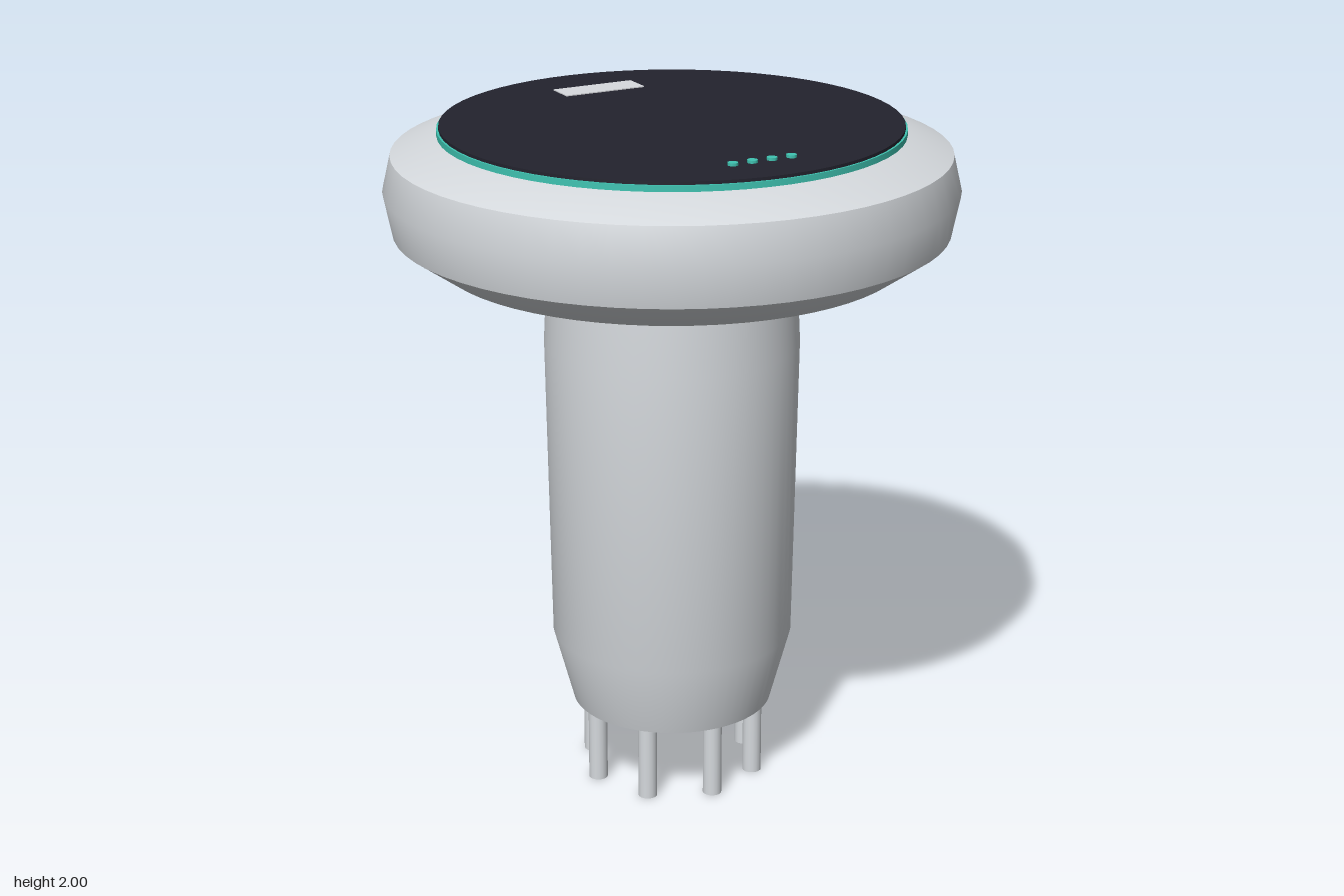
import * as THREE from 'three';
import { toCreasedNormals } from 'three/addons/utils/BufferGeometryUtils.js';

const material = (name, color) => {
  const m = new THREE.MeshStandardMaterial({ color });
  m.name = name;
  return m;
};

export function createModel() {
  const shell = material('paleGrey', 0xd5d9dd);
  const glass = material('nearBlack', 0x23232e);
  const teal = material('teal', 0x3fc4b2);
  const label = material('labelWhite', 0xd8dade);

  const model = new THREE.Group();
  model.name = 'device';

  const add = (name, geometry, mat, x = 0, y = 0, z = 0) => {
    const mesh = new THREE.Mesh(geometry, mat);
    mesh.name = name;
    mesh.position.set(x, y, z);
    model.add(mesh);
  };
  // Turned part from [radius, height] pairs, bottom to top
  const turned = (profile) => toCreasedNormals(
    new THREE.LatheGeometry(profile.map(([r, y]) => new THREE.Vector2(r, y)), 64), 0.6);

  // Stem, tapered at both ends
  add('stem', turned([[0, 0.23], [0.297, 0.23], [0.356, 0.45], [0.37, 1.35], [0.357, 1.6]]), shell);

  // Wide head with bevelled rim
  add('head', turned([
    [0, 1.57], [0.37, 1.57], [0.67, 1.605], [0.793, 1.69], [0.817, 1.81],
    [0.793, 1.912], [0.655, 1.968], [0, 1.968],
  ]), shell);

  // Top panel inside a thin coloured ring
  add('accentRing', new THREE.CylinderGeometry(0.661, 0.661, 0.02, 64), teal, 0, 1.973);
  add('topPanel', new THREE.CylinderGeometry(0.655, 0.655, 0.014, 64), glass, 0, 1.985);
  add('labelPlate', new THREE.BoxGeometry(0.255, 0.004, 0.088), label, 0, 1.993, -0.453);

  // Row of indicator dots near the front
  const dot = new THREE.CylinderGeometry(0.015, 0.015, 0.012, 8);
  for (const x of [-0.09, -0.03, 0.03, 0.09]) add('indicatorDot', dot, teal, x, 1.994, 0.505);

  // Ring of contact pins below the stem
  const pin = new THREE.CylinderGeometry(0.028, 0.028, 0.26, 16);
  for (let i = 0; i < 8; i++) {
    const a = (i * Math.PI) / 4;
    add('contactPin', pin, shell, 0.252 * Math.cos(a), 0.13, 0.252 * Math.sin(a));
  }

  return model;
}
